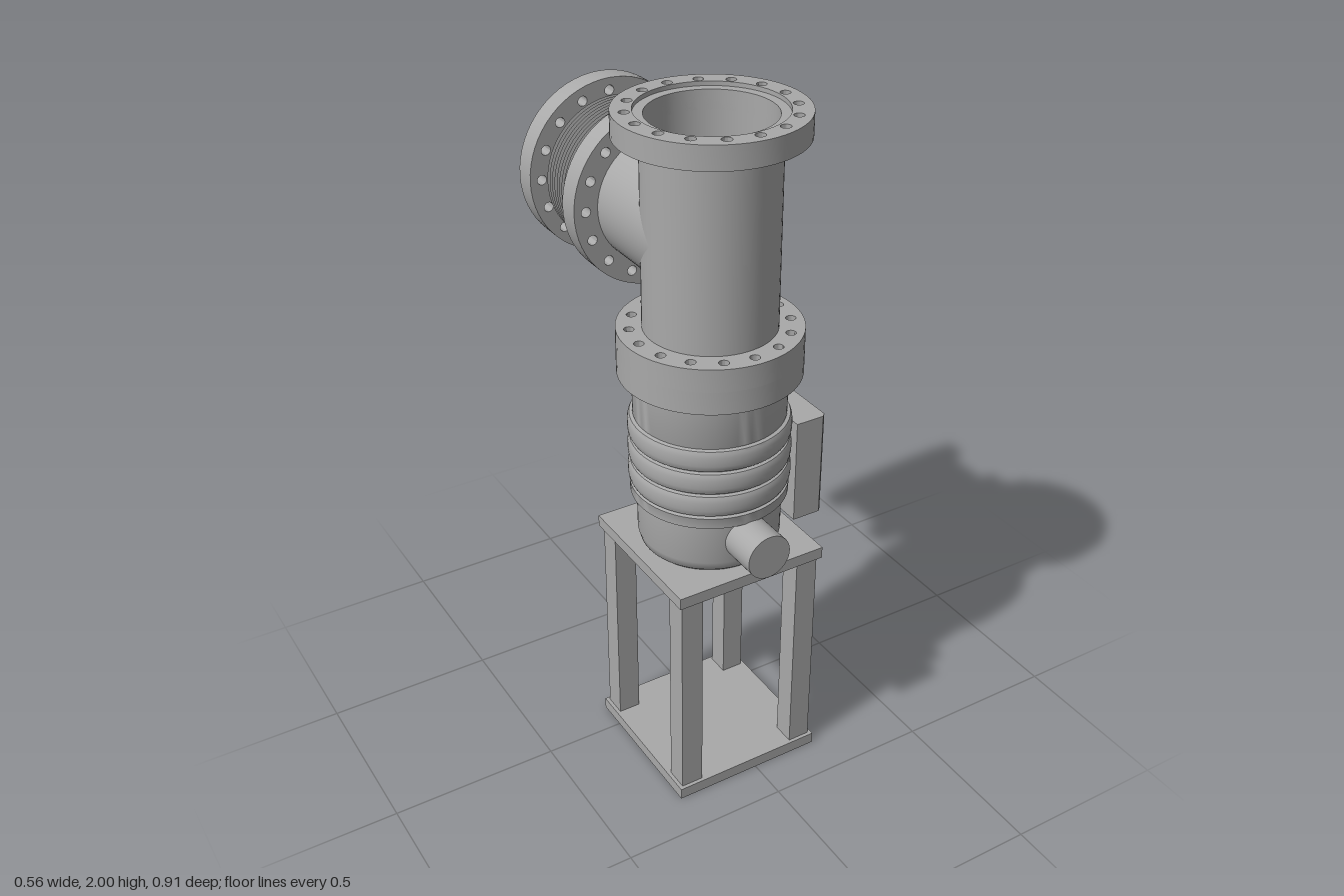
import * as THREE from 'three';
import { toCreasedNormals } from 'three/addons/utils/BufferGeometryUtils.js';

const CX = -0.027, CZ = 0.143;   // vertical axis of the pump
const PIPE_R = 0.1825, BORE = 0.17, FLANGE_R = 0.2525, FLANGE_T = 0.066;

export function createModel() {
  const model = new THREE.Group();
  model.name = 'vacuumPump';
  const metal = new THREE.MeshStandardMaterial({ color: 0xa9a9a9 });
  metal.name = 'grey metal';
  const sheet = new THREE.MeshStandardMaterial({ color: 0xa9a9a9, side: THREE.DoubleSide });
  sheet.name = 'grey metal';

  const add = (parent, name, geometry, x = 0, y = 0, z = 0, material = metal) => {
    const mesh = new THREE.Mesh(geometry, material);
    mesh.name = name;
    mesh.position.set(x, y, z);
    parent.add(mesh);
    return mesh;
  };
  const lathe = (points, crease = 0.5) => toCreasedNormals(
    new THREE.LatheGeometry(points.map(([r, y]) => new THREE.Vector2(r, y)), 64), crease);

  // closed hollow pipe from y0 to y1
  const pipe = (outer, inner, y0, y1) => lathe(
    [[inner, y0], [outer, y0], [outer, y1], [inner, y1], [inner, y0]]);

  const disc = (r, x = 0, y = 0) => new THREE.Path().absarc(x, y, r, 0, Math.PI * 2, true);

  // bolted flange standing on y, recessed sealing face on top (or below when flipped)
  const addFlange = (parent, name, y, flipped = false) => {
    const group = new THREE.Group();
    group.name = name;
    group.position.y = y;
    const shape = new THREE.Shape().absarc(0, 0, FLANGE_R, 0, Math.PI * 2, false);
    shape.holes.push(disc(0.197));
    for (let i = 0; i < 16; i++) {
      const a = i * Math.PI / 8;
      shape.holes.push(disc(0.014, 0.217 * Math.cos(a), 0.217 * Math.sin(a)));
    }
    const ring = new THREE.ExtrudeGeometry(shape, { depth: FLANGE_T, bevelEnabled: false, curveSegments: 32 });
    ring.rotateX(-Math.PI / 2);
    add(group, name + 'Ring', toCreasedNormals(ring, 0.5));
    const low = flipped ? 0.012 : 0, high = flipped ? FLANGE_T : FLANGE_T - 0.012;
    add(group, name + 'Seat', pipe(0.197, BORE, low, high));
    parent.add(group);
  };

  // upright column on the pump axis
  const column = new THREE.Group();
  column.name = 'column';
  column.position.set(CX, 0, CZ);
  model.add(column);
  add(column, 'mainPipe', pipe(PIPE_R, BORE, 1.36, 1.97));
  addFlange(column, 'topFlange', 2 - FLANGE_T);
  addFlange(column, 'pipeFootFlange', 1.34, true);
  addFlange(column, 'pumpFlange', 1.34 - FLANGE_T);

  // pump housing: rounded foot, collar, three bulging bands, neck, funnel inside
  const profile = [[0.068, 0.735], [0.185, 0.735], [0.196, 0.745], [0.203, 0.77], [0.204, 0.895],
    [0.222, 0.899], [0.223, 0.931], [0.212, 0.935]];
  for (let b = 0; b < 3; b++) {
    const y0 = 0.937 + b * 0.071;
    for (let i = 0; i <= 8; i++) {
      const a = Math.PI * (i / 8 - 0.5);
      profile.push([0.211 + 0.016 * Math.sqrt(Math.max(0, Math.cos(a))), y0 + 0.033 * (1 + Math.sin(a))]);
    }
  }
  profile.push([0.212, 1.148], [0.212, 1.3], [BORE, 1.3], [BORE, 0.82], [0.068, 0.75], [0.068, 0.735]);
  add(column, 'pumpHousing', lathe(profile, 0.7));

  // side branch, pointing to the back
  const branch = new THREE.Group();
  branch.name = 'branch';
  branch.position.set(CX, 1.67, CZ);
  branch.rotation.x = -Math.PI / 2;
  model.add(branch);
  add(branch, 'branchPipe', pipe(PIPE_R, BORE, 0, 0.3));
  addFlange(branch, 'branchFlange', 0.272);
  addFlange(branch, 'outerFlange', 0.531);

  // thin pleated bellows between the branch flanges
  const pleats = [[BORE, 0.32]];
  const count = 12, start = 0.35, pitch = 0.168 / count;
  for (let i = 0; i < count; i++) {
    pleats.push([BORE, start + i * pitch], [0.21, start + (i + 0.5) * pitch]);
  }
  pleats.push([BORE, start + count * pitch], [BORE, 0.545]);
  add(branch, 'bellows', lathe(pleats), 0, 0, 0, sheet);

  // front port
  const port = new THREE.CylinderGeometry(0.066, 0.066, 0.17, 48);
  port.rotateX(Math.PI / 2);
  add(model, 'frontPort', port, CX, 0.836, 0.368);

  // control box with chamfered outer edges
  const box = new THREE.Shape();
  [[0.18, -0.03], [0.267, -0.03], [0.278, -0.041], [0.278, -0.257], [0.267, -0.268], [0.18, -0.268]]
    .reverse().forEach(([x, y], i) => (i ? box.lineTo(x, y) : box.moveTo(x, y)));
  const boxGeometry = new THREE.ExtrudeGeometry(box, { depth: 0.318, bevelEnabled: false });
  boxGeometry.rotateX(-Math.PI / 2);
  add(model, 'controlBox', boxGeometry, 0, 0.775, 0);

  // stand: base plate, four legs, top plate with drain hole
  add(model, 'basePlate', new THREE.BoxGeometry(0.467, 0.035, 0.467), CX, 0.0175, CZ);
  for (const sx of [-1, 1]) for (const sz of [-1, 1]) {
    add(model, 'leg', new THREE.BoxGeometry(0.067, 0.665, 0.067), CX + sx * 0.189, 0.3675, CZ + sz * 0.189);
  }
  const h = 0.2335;
  const plate = new THREE.Shape([[-h, -h], [h, -h], [h, h], [-h, h]].map(([x, y]) => new THREE.Vector2(x, y)));
  plate.holes.push(disc(0.068));
  const plateGeometry = new THREE.ExtrudeGeometry(plate, { depth: 0.035, bevelEnabled: false, curveSegments: 32 });
  plateGeometry.rotateX(-Math.PI / 2);
  add(model, 'topPlate', toCreasedNormals(plateGeometry, 0.5), CX, 0.7, CZ);

  return model;
}
